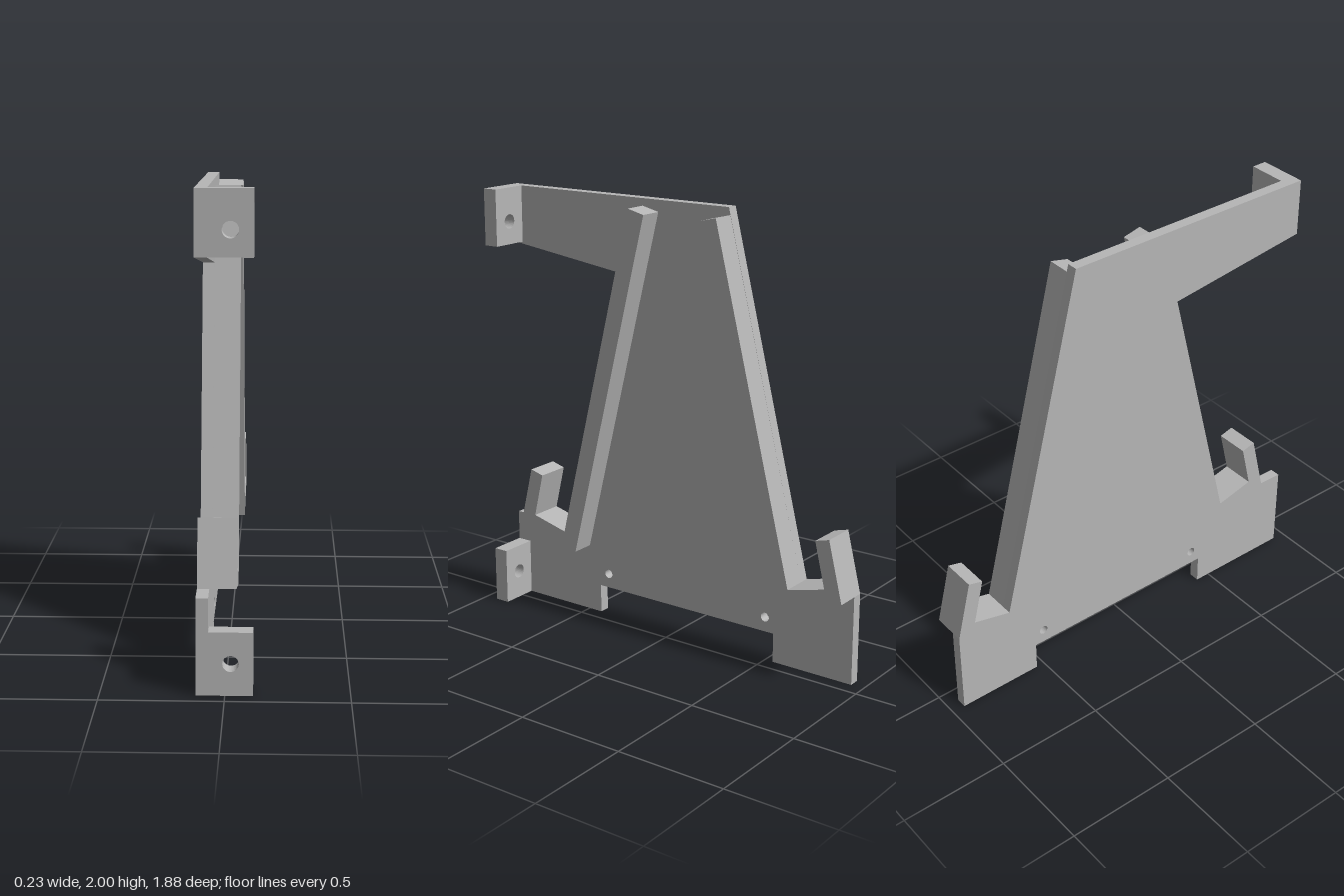
import * as THREE from 'three';

const WALL = -0.115; // outer face of the side plate
const INNER = -0.065; // inner face of the side plate

function outline(points) {
  return new THREE.Shape(points.map(([a, b]) => new THREE.Vector2(a, b)));
}

function addHole(shape, x, y, r) {
  const hole = new THREE.Path();
  hole.absarc(x, y, r, 0, Math.PI * 2, true);
  shape.holes.push(hole);
}

export function createModel() {
  const group = new THREE.Group();
  const grey = new THREE.MeshStandardMaterial({ color: 0xb6b6b6 });
  grey.name = 'plain grey';

  const add = (name, geometry) => {
    const mesh = new THREE.Mesh(geometry, grey);
    mesh.name = name;
    group.add(mesh);
  };

  // Extrudes a profile given as (-z, y) across x
  const sideExtrude = (shape, x0, x1) =>
    new THREE.ExtrudeGeometry(shape, { depth: x1 - x0, bevelEnabled: false, curveSegments: 16 })
      .rotateY(Math.PI / 2)
      .translate(x0, 0, 0);

  // Outer run of a rail: rail top, rail foot, hook pocket, hook tip, hook heel
  const rearHook = [[0.675, 0.41], [0.855, 0.455], [0.805, 0.662], [0.872, 0.68], [0.94, 0.405]];
  const frontHook = rearHook.map(([a, b]) => [0.115 - a, b]);

  // Side plate with upper arm, feet and both hook backs
  const plate = outline([
    [-0.94, 0], [-0.43, 0], [-0.43, 0.135], [0.54, 0.135], [0.54, 0], [0.94, 0],
    ...[...rearHook].reverse(),
    [0.28, 2], [-0.94, 2], [-0.94, 1.74], [-0.253, 1.65],
    ...frontHook,
    [-0.94, 0.403],
  ]);
  addHole(plate, -0.382, 0.203, 0.021);
  addHole(plate, 0.495, 0.203, 0.021);
  add('sidePlate', sideExtrude(plate, WALL, INNER));

  // Sloping rails that turn up into hooks
  const rail = [[0.61, 0.323], [0.203, 1.947], [0.287, 1.967], ...rearHook];
  add('rearRail', sideExtrude(outline(rail), INNER, 0.043));
  add('frontRail', sideExtrude(outline(rail.map(([a, b]) => [0.115 - a, b])), INNER, 0.043));

  // Drilled mounting tabs at the front
  for (const [name, y0, y1, holeY] of [['upperTab', 1.74, 2, 1.845], ['lowerTab', 0, 0.263, 0.133]]) {
    const tab = outline([[INNER, y0], [0.112, y0], [0.112, y1], [INNER, y1]]);
    addHole(tab, 0.023, holeY, 0.033);
    const geometry = new THREE.ExtrudeGeometry(tab, { depth: 0.07, bevelEnabled: false, curveSegments: 16 });
    add(name, geometry.translate(0, 0, 0.87));
  }

  return group;
}
